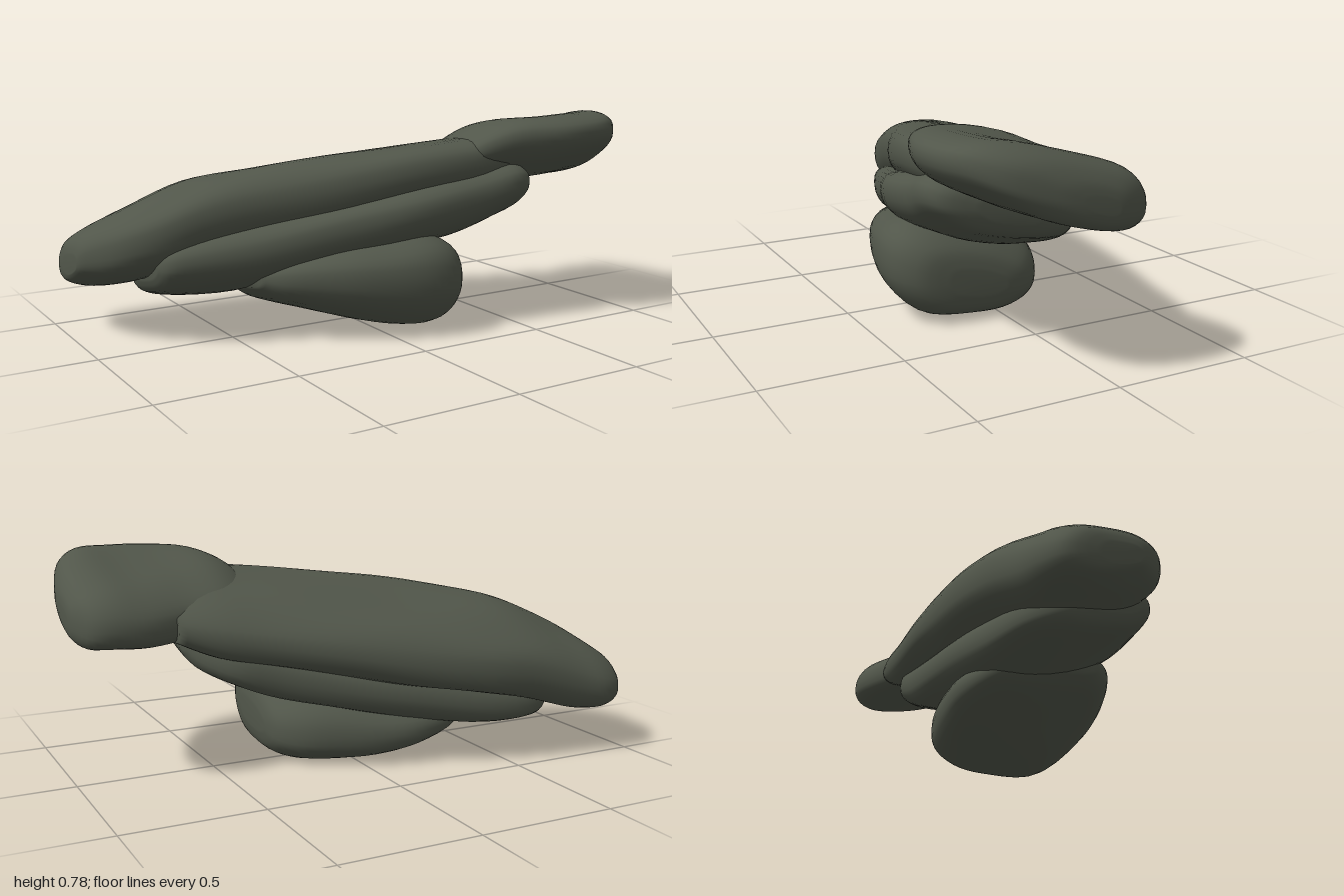
import * as THREE from 'three';

const SIDES = 40, STEPS = 4;

// Catmull-Rom blend of one station value
function blend(a, b, c, d, t) {
  return 0.5 * (2 * b + (c - a) * t + (2 * a - 5 * b + 4 * c - d) * t * t + (3 * b - a - 3 * c + d) * t * t * t);
}

// Slab lofted along x; stations are [x, zBack, zFront, yCentre, halfThickness].
// tilt raises the front edge, wedge thickens the front and thins the back.
function slab(name, stations, tilt, wedge, seed, material) {
  const rings = [];
  const n = stations.length;
  const at = i => stations[Math.min(n - 1, Math.max(0, i))];
  for (let i = 0; i < n - 1; i++) {
    for (let k = 0; k < STEPS; k++) {
      rings.push(at(i).map((_, v) => blend(at(i - 1)[v], at(i)[v], at(i + 1)[v], at(i + 2)[v], k / STEPS)));
    }
  }
  rings.push(at(n - 1));

  const pos = [], index = [];
  const soft = v => Math.sign(v) * Math.abs(v) ** 0.83;
  for (const [x, z0, z1, y, h] of rings) {
    const zc = (z0 + z1) / 2, d = (z1 - z0) / 2;
    for (let j = 0; j < SIDES; j++) {
      const a = j / SIDES * Math.PI * 2;
      const s = soft(Math.cos(a)), dz = d * s;
      // gentle weathering ripples
      const r = 1 + 0.04 * Math.sin(3 * a + x * 5 + seed) + 0.025 * Math.sin(5 * a - x * 9 + seed * 2);
      pos.push(x, y + tilt * dz + h * (1 + wedge * s) * soft(Math.sin(a)) * r, zc + dz);
    }
  }
  for (let i = 0; i < rings.length - 1; i++) {
    for (let j = 0; j < SIDES; j++) {
      const k = (j + 1) % SIDES, p = i * SIDES, q = p + SIDES;
      index.push(p + j, q + j, p + k, q + j, q + k, p + k);
    }
  }
  // end caps
  const first = rings[0], last = rings[rings.length - 1], c = pos.length / 3, e = (rings.length - 1) * SIDES;
  pos.push(first[0], first[3], (first[1] + first[2]) / 2, last[0], last[3], (last[1] + last[2]) / 2);
  for (let j = 0; j < SIDES; j++) {
    const k = (j + 1) % SIDES;
    index.push(c, j, k, c + 1, e + k, e + j);
  }
  const geo = new THREE.BufferGeometry();
  geo.setAttribute('position', new THREE.Float32BufferAttribute(pos, 3));
  geo.setIndex(index);
  geo.computeVertexNormals();
  const mesh = new THREE.Mesh(geo, material);
  mesh.name = name;
  return mesh;
}

export function createModel() {
  const group = new THREE.Group();
  group.name = 'layeredRock';
  const stone = new THREE.MeshStandardMaterial({ color: 0x51564a });
  stone.name = 'mossy grey stone';

  // Long sloping top layer
  group.add(slab('topSlab', [
    [-1.0, -0.36, -0.20, 0.30, 0.035],
    [-0.98, -0.47, -0.15, 0.305, 0.075],
    [-0.9, -0.515, -0.03, 0.325, 0.115],
    [-0.78, -0.51, 0.05, 0.36, 0.14],
    [-0.6, -0.495, 0.1, 0.42, 0.15],
    [-0.4, -0.475, 0.16, 0.455, 0.15],
    [-0.15, -0.415, 0.26, 0.495, 0.145],
    [0.1, -0.34, 0.34, 0.54, 0.13],
    [0.35, -0.255, 0.38, 0.575, 0.12],
    [0.52, -0.2, 0.36, 0.595, 0.11],
    [0.66, -0.14, 0.28, 0.61, 0.07],
  ], 0.25, 0, 0.4, stone));

  // Raised block at the high end
  group.add(slab('headSlab', [
    [0.28, 0.1, 0.32, 0.625, 0.03],
    [0.34, 0.0, 0.39, 0.645, 0.075],
    [0.45, -0.07, 0.455, 0.665, 0.1],
    [0.6, -0.1, 0.51, 0.66, 0.108],
    [0.75, -0.145, 0.51, 0.658, 0.11],
    [0.87, -0.145, 0.47, 0.662, 0.112],
    [0.95, -0.11, 0.38, 0.645, 0.1],
    [0.99, -0.03, 0.24, 0.625, 0.065],
    [1.0, 0.02, 0.14, 0.615, 0.025],
  ], 0.27, -0.1, 1.7, stone));

  // Middle layer
  group.add(slab('middleSlab', [
    [-0.78, -0.22, 0.0, 0.28, 0.03],
    [-0.75, -0.32, 0.06, 0.275, 0.075],
    [-0.65, -0.39, 0.11, 0.275, 0.1],
    [-0.45, -0.39, 0.19, 0.295, 0.12],
    [-0.2, -0.35, 0.28, 0.345, 0.125],
    [0.05, -0.29, 0.37, 0.395, 0.125],
    [0.3, -0.22, 0.4, 0.445, 0.128],
    [0.46, -0.17, 0.425, 0.49, 0.11],
    [0.55, -0.06, 0.38, 0.5, 0.08],
    [0.58, 0.04, 0.26, 0.5, 0.035],
  ], 0.26, 0, 2.9, stone));

  // Bulging foot
  group.add(slab('footSlab', [
    [-0.43, -0.16, 0.1, 0.225, 0.03],
    [-0.36, -0.28, 0.21, 0.215, 0.075],
    [-0.2, -0.32, 0.32, 0.205, 0.12],
    [-0.05, -0.29, 0.38, 0.195, 0.15],
    [0.1, -0.23, 0.415, 0.195, 0.17],
    [0.21, -0.17, 0.4, 0.185, 0.155],
    [0.28, -0.09, 0.33, 0.175, 0.11],
    [0.3, 0.0, 0.22, 0.17, 0.045],
  ], 0.18, 0.15, 4.1, stone));

  // Rest the lowest point on the ground
  const box = new THREE.Box3().setFromObject(group);
  group.children.forEach(m => m.geometry.translate(0, -box.min.y, 0));
  return group;
}
